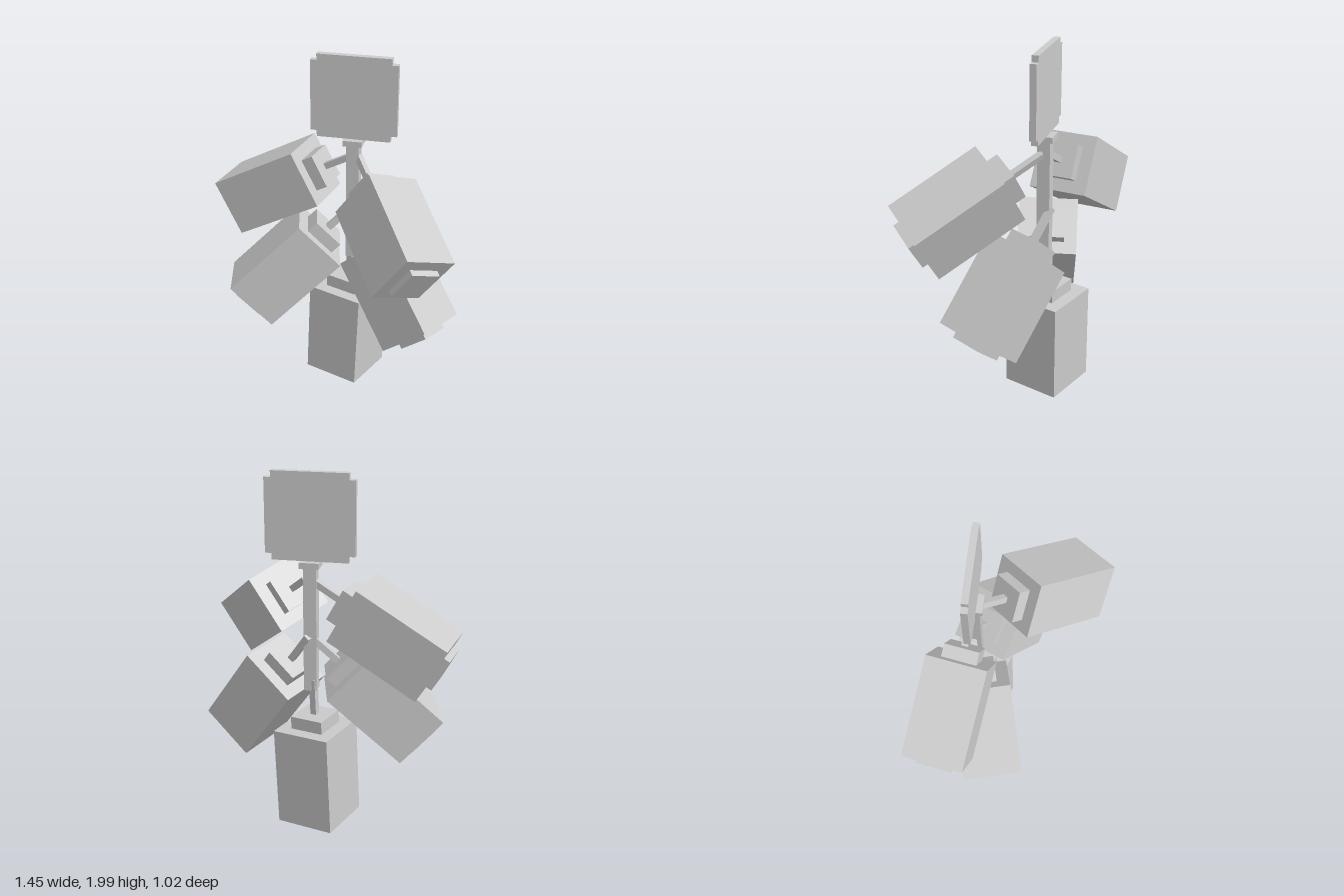
import * as THREE from 'three';

const material = new THREE.MeshStandardMaterial({ color: 0xcccccc, flatShading: true });
const POLE_X = 0.08, POLE_Z = -0.22;

function box(parent, name, w, h, d, x, y, z) {
  const mesh = new THREE.Mesh(new THREE.BoxGeometry(w, h, d), material);
  mesh.name = name;
  mesh.position.set(x, y, z);
  parent.add(mesh);
  return mesh;
}

// A box lantern with caps at both ends and an arm along its own axis.
// down: direction of the hanging axis; side: direction of one side face.
function makeLantern(name, centre, down, side) {
  const size = 0.33, length = 0.55;
  const lantern = new THREE.Group();
  lantern.name = name;
  box(lantern, 'lanternBody', size, length, size, 0, 0, 0);
  box(lantern, 'upperCap', 0.19, 0.07, 0.19, 0, length / 2 + 0.035, 0);
  box(lantern, 'lowerCap', 0.19, 0.035, 0.19, 0, -length / 2 - 0.0175, 0);
  box(lantern, 'arm', 0.035, 0.2, 0.035, 0, length / 2 + 0.17, 0);

  const y = new THREE.Vector3(...down).normalize().negate();
  const x = new THREE.Vector3(...side);
  x.addScaledVector(y, -x.dot(y)).normalize();
  const z = new THREE.Vector3().crossVectors(x, y);
  lantern.quaternion.setFromRotationMatrix(new THREE.Matrix4().makeBasis(x, y, z));
  lantern.position.set(...centre);
  return lantern;
}

// Square plate with a small square notch at each corner
function makePlate() {
  const a = 0.24, h = 0.235, n = 0.035, depth = 0.036;
  const shape = new THREE.Shape([
    [-a + n, -h], [a - n, -h], [a - n, -h + n], [a, -h + n],
    [a, h - n], [a - n, h - n], [a - n, h], [-a + n, h],
    [-a + n, h - n], [-a, h - n], [-a, -h + n], [-a + n, -h + n],
  ].map(([x, y]) => new THREE.Vector2(x, y)));
  const geometry = new THREE.ExtrudeGeometry(shape, { depth, bevelEnabled: false });
  const plate = new THREE.Mesh(geometry, material);
  plate.name = 'topPlate';
  plate.position.set(POLE_X, 1.765, POLE_Z - depth / 2);
  return plate;
}

export function createModel() {
  const model = new THREE.Group();
  model.name = 'lanternCluster';

  // Central support
  model.add(makePlate());
  box(model, 'collar', 0.106, 0.032, 0.106, POLE_X, 1.514, POLE_Z);
  box(model, 'pole', 0.07, 0.69, 0.07, POLE_X, 1.155, POLE_Z);

  // Lanterns fanned out around the pole
  const lanterns = [
    ['upperRightLantern', [-0.383, 1.17, -0.30], [-0.475, -0.265, -0.08], [-0.055, 0, 0.325]],
    ['lowerRightLantern', [-0.298, 0.738, -0.133], [-0.375, -0.375, 0.105], [0.081, 0.008, 0.32]],
    ['upperLeftLantern', [0.385, 1.155, 0.168], [0.28, -0.275, 0.385], [0.21, -0.105, -0.232]],
    ['lowerLeftLantern', [0.378, 0.695, -0.079], [0.29, -0.425, 0.18], [0.135, -0.03, -0.297]],
    ['bottomLantern', [0.047, 0.325, -0.234], [-0.02, -0.55, 0.005], [-0.11, 0, 0.32]],
  ];
  for (const args of lanterns) model.add(makeLantern(...args));
  return model;
}
